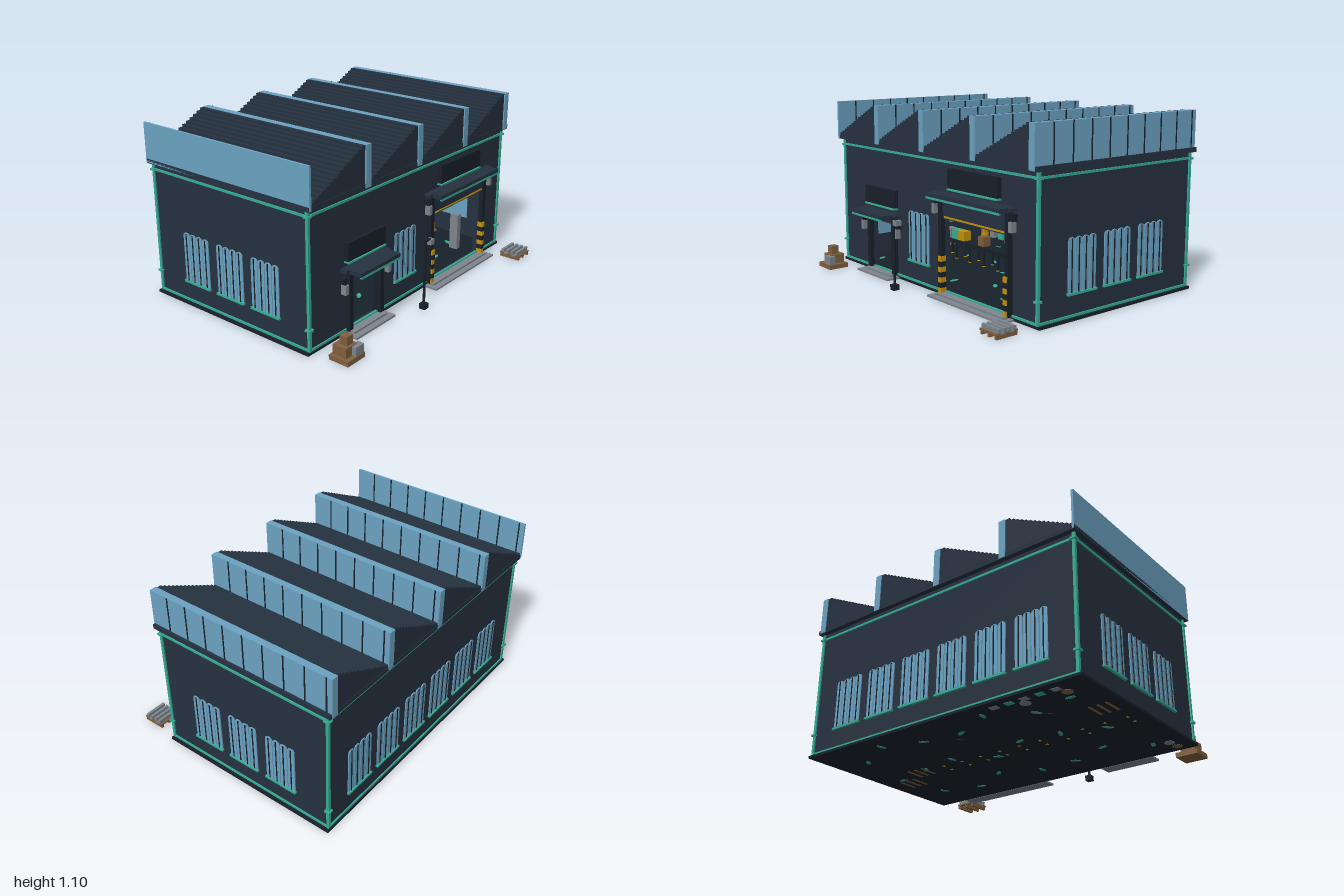
import * as THREE from 'three';

const mat = (name, color) => {
  const m = new THREE.MeshStandardMaterial({ color });
  m.name = name;
  return m;
};

export function createModel() {
  const wall = mat('slate wall', 0x263140);
  const dark = mat('dark metal', 0x18202a);
  const glass = mat('blue glass', 0x6ca3c2);
  const teal = mat('teal trim', 0x37ad96);
  const yellow = mat('safety yellow', 0xc4940e);
  const brown = mat('brown wood', 0x80603f);
  const grey = mat('grey metal', 0x7e868d);
  const root = new THREE.Group();

  const add = (name, geo, m, parent = root) => {
    const mesh = new THREE.Mesh(geo, m);
    mesh.name = name;
    parent.add(mesh);
    return mesh;
  };
  // Box given by its extents along each axis
  const box = (name, m, x0, x1, y0, y1, z0, z1, parent) => {
    const b = add(name, new THREE.BoxGeometry(x1 - x0, y1 - y0, z1 - z0), m, parent);
    b.position.set((x0 + x1) / 2, (y0 + y1) / 2, (z0 + z1) / 2);
    return b;
  };
  const cyl = (name, m, r, h, x, y, z, parent, sides = 12) => {
    const c = add(name, new THREE.CylinderGeometry(r, r, h, sides), m, parent);
    c.position.set(x, y + h / 2, z);
    return c;
  };
  const group = (name, x = 0, y = 0, z = 0, ry = 0) => {
    const g = new THREE.Group();
    g.name = name;
    g.position.set(x, y, z);
    g.rotation.y = ry;
    root.add(g);
    return g;
  };

  // Floor and walls, with door openings cut in the front
  const X = 0.975, ZF = 0.49, ZB = -0.735, T = 0.03;
  box('floor', dark, -1, 1, 0.002, 0.018, -0.75, 0.5);
  const face = new THREE.Shape([[-X, 0.018], [X, 0.018], [X, 0.85], [-X, 0.85]].map(p => new THREE.Vector2(...p)));
  for (const [a, b, t] of [[-0.63, -0.38, 0.37], [0.165, 0.735, 0.5]])
    face.holes.push(new THREE.Path([[a, 0.022], [a, t], [b, t], [b, 0.022]].map(p => new THREE.Vector2(...p))));
  add('frontWall', new THREE.ExtrudeGeometry(face, { depth: T, bevelEnabled: false }), wall).position.z = ZF - T;
  box('backWall', wall, -X, X, 0.018, 0.85, ZB, ZB + T);
  for (const s of [-1, 1]) {
    const a = s * X, b = s * (X - T);
    box('sideWall', wall, Math.min(a, b), Math.max(a, b), 0.018, 0.85, ZB + T, ZF - T);
  }

  // Teal edge trim, corner posts and small corner clamps
  for (const y of [0.025, 0.812]) {
    for (const z of [ZF, ZB]) box('edgeTrim', teal, -0.985, 0.985, y - 0.007, y + 0.007, z - 0.008, z + 0.008);
    for (const x of [-X, X]) box('edgeTrim', teal, x - 0.008, x + 0.008, y - 0.007, y + 0.007, ZB, ZF);
  }
  for (const x of [-X, X]) for (const z of [ZF, ZB]) {
    box('cornerPost', teal, x - 0.009, x + 0.009, 0.018, 0.85, z - 0.009, z + 0.009);
    for (const y of [0.15, 0.81]) box('cornerClamp', teal, x - 0.018, x + 0.018, y - 0.006, y + 0.006, z - 0.018, z + 0.018);
  }

  // Eaves slab and stepped sawtooth roof with upright skylights
  box('eaves', wall, -1, 1, 0.848, 0.876, -0.768, 0.525);
  const STEPS = 15, W = 0.446;
  const tooth = new THREE.Shape();
  tooth.moveTo(0, 0.876);
  for (let i = 0; i < STEPS; i++) {
    const y = 0.876 + 0.222 * (i + 1) / STEPS;
    tooth.lineTo(W * i / STEPS, y);
    tooth.lineTo(W * (i + 1) / STEPS, y);
  }
  tooth.lineTo(W, 0.876);
  const toothGeo = new THREE.ExtrudeGeometry(tooth, { depth: 1.287, bevelEnabled: false });
  const skylight = (x0, x1) => {
    const g = group('skylight');
    box('skylightGlass', glass, x0, x1, 0.852, 1.1, -0.77, 0.53, g);
    for (let i = 0; i < 9; i++) {
      const z = 0.395 - i * 0.141;
      box('skylightBar', dark, x1 - 0.002, x1 + 0.003, 0.86, 1.1, z - 0.004, z + 0.004, g);
    }
  };
  skylight(-1, -0.986);
  for (let i = 0; i < 4; i++) {
    const x = -0.983 + i * 0.492;
    add('roofTooth', toothGeo, wall).position.set(x, 0, -0.765);
    skylight(x + W, x + W + 0.045);
  }

  // Barred windows: four round-topped panes, a sill and a plain inner pane
  const pane = new THREE.Shape();
  pane.moveTo(-0.025, 0);
  pane.lineTo(0.025, 0);
  pane.lineTo(0.025, 0.29);
  pane.quadraticCurveTo(0.024, 0.308, 0, 0.31);
  pane.quadraticCurveTo(-0.024, 0.308, -0.025, 0.29);
  const paneGeo = new THREE.ExtrudeGeometry(pane, { depth: 0.006, bevelEnabled: false, curveSegments: 4 });
  const window_ = (x, z, ry) => {
    const g = group('window', x, 0, z, ry);
    for (let i = 0; i < 4; i++) {
      const px = -0.081 + i * 0.054;
      add('windowPane', paneGeo, glass, g).position.set(px, 0.157, 0);
      box('windowBar', dark, px - 0.003, px + 0.003, 0.155, 0.46, 0.005, 0.01, g);
    }
    box('windowSill', teal, -0.112, 0.112, 0.144, 0.157, -0.005, 0.016, g);
    box('innerPane', glass, -0.11, 0.11, 0.155, 0.468, -T - 0.004, -T + 0.002, g);
  };
  window_(-0.108, ZF, 0);
  for (let i = 0; i < 6; i++) window_(-0.69 + i * 0.277, ZB, Math.PI);
  for (const z of [0.167, -0.113, -0.395]) {
    window_(X, z, Math.PI / 2);
    window_(-X, z, -Math.PI / 2);
  }

  // Doorways: jambs, lintel, canopy, sign board and step
  const doorway = (o) => {
    const g = group(o.name);
    for (const x of [o.x0, o.x1]) box('doorJamb', dark, x - 0.016, x + 0.016, 0.018, o.cy, ZF - 0.03, ZF + 0.03, g);
    box('lintel', wall, o.x0, o.x1, o.top, o.cy, ZF - 0.01, ZF + 0.02, g);
    box('canopy', wall, o.c0, o.c1, o.cy, o.cy + 0.026, ZF, o.cz, g);
    box('canopyTrim', teal, o.c0 + 0.003, o.c1 - 0.003, o.cy - 0.009, o.cy + 0.004, o.cz - 0.012, o.cz + 0.002, g);
    box('canopyBack', wall, o.c0 - 0.025, o.c1 + 0.025, o.cy + 0.004, o.cy + 0.024, ZF, ZF + 0.045, g);
    box('signBoard', dark, o.s0, o.s1, o.sy, o.st, ZF, ZF + 0.03, g);
    box('signTrim', teal, o.s0, o.s1, o.sy - 0.012, o.sy - 0.003, ZF, ZF + 0.036, g);
    box('doorStep', grey, o.x0 - 0.04, o.x1 + 0.04, 0, 0.012, 0.5, 0.59, g);
    box('doorStepTop', grey, o.x0 - 0.01, o.x1 + 0.01, 0.012, 0.024, 0.49, 0.55, g);
    for (const x of [o.c0 - 0.015, o.c1 + 0.015]) {
      box('wallLampMount', dark, x - 0.008, x + 0.008, o.ly + 0.02, o.ly + 0.07, ZF, ZF + 0.035, g);
      box('wallLamp', grey, x - 0.014, x + 0.014, o.ly - 0.03, o.ly + 0.028, ZF + 0.01, ZF + 0.045, g);
    }
  };
  doorway({ name: 'smallDoorway', x0: -0.65, x1: -0.365, top: 0.35, cy: 0.395, c0: -0.69, c1: -0.33, cz: 0.622,
    s0: -0.68, s1: -0.34, sy: 0.458, st: 0.568, ly: 0.3 });
  doorway({ name: 'largeDoorway', x0: 0.145, x1: 0.755, top: 0.475, cy: 0.608, c0: 0.115, c1: 0.785, cz: 0.597,
    s0: 0.225, s1: 0.675, sy: 0.665, st: 0.78, ly: 0.53 });
  box('hazardStripe', yellow, 0.18, 0.73, 0.482, 0.492, ZF, ZF + 0.024);
  for (const x of [0.152, 0.748]) for (let i = 0; i < 7; i++)
    box('doorGuard', i % 2 ? dark : yellow, x - 0.014, x + 0.014, 0.022 + i * 0.032, 0.054 + i * 0.032, ZF, ZF + 0.04);

  // Street lamp
  box('lampFoot', dark, -0.155, -0.115, 0, 0.035, 0.64, 0.68);
  cyl('lampPole', dark, 0.008, 0.42, -0.135, 0.03, 0.66, root, 8);
  box('lampArm', dark, -0.155, -0.1, 0.438, 0.45, 0.65, 0.672);
  box('lampHead', grey, -0.112, -0.074, 0.41, 0.442, 0.642, 0.682);

  // Slatted pallets and crates
  const pallet = (x, z, s, m = brown) => {
    const g = group('pallet', x, 0, z);
    for (const k of [-1, 0, 1]) box('palletRunner', brown, k * s * 0.42 - 0.008, k * s * 0.42 + 0.008, 0, 0.025, -s / 2, s / 2, g);
    for (let i = 0; i < 5; i++) {
      const c = (i - 2) * s * 0.215;
      box('palletSlat', i % 2 ? m : brown, -s / 2, s / 2, 0.022, 0.032, c - s * 0.09, c + s * 0.09, g);
    }
    return g;
  };
  const spare = pallet(0.9, 0.695, 0.14, grey);
  for (let i = 0; i < 4; i++) box('stackedSlat', grey, -0.07, 0.07, 0.032, 0.055, -0.06 + i * 0.034, -0.042 + i * 0.034, spare);
  box('crateBase', brown, -0.945, -0.8, 0, 0.03, 0.6, 0.735);
  box('crate', brown, -0.925, -0.83, 0.03, 0.09, 0.61, 0.705);
  box('smallCrate', brown, -0.9, -0.85, 0.09, 0.145, 0.64, 0.69);
  box('metalCrate', grey, -0.875, -0.805, 0.03, 0.085, 0.69, 0.732);
  for (const [x, z] of [[0.82, 0], [0.63, -0.13], [-0.86, -0.32]]) {
    const g = pallet(x, z, 0.13);
    box('storedCrate', brown, -0.055, 0.055, 0.032, 0.085, -0.055, 0.055, g);
    box('storedCrateTop', brown, -0.045, 0.02, 0.085, 0.12, -0.04, 0.03, g);
  }

  // Conveyor with legs and parcels
  const conveyor = group('conveyor', 0, 0, -0.1);
  box('belt', dark, -0.92, 0.46, 0.125, 0.15, -0.045, 0.045, conveyor);
  for (let i = 0; i < 10; i++) for (const z of [-0.038, 0.038]) {
    const x = -0.9 + i * 0.148;
    box('conveyorLeg', dark, x - 0.006, x + 0.006, 0.01, 0.13, z - 0.006, z + 0.006, conveyor);
    box('conveyorFoot', yellow, x - 0.008, x + 0.008, 0, 0.024, z - 0.008, z + 0.008, conveyor);
  }
  [[-0.57, 0.035, grey], [-0.49, 0.03, teal], [-0.42, 0.035, yellow], [-0.2, 0.03, brown], [0.21, 0.036, grey], [0.37, 0.035, grey], [0.42, 0.017, yellow]]
    .forEach(([x, r, m]) => box('parcel', m, x - r, x + r, 0.15, 0.215, -0.03, 0.03, conveyor));

  // Robot arms behind the conveyor
  for (const x of [0.07, -0.575]) {
    const g = group('robotArm', x, 0, -0.41);
    cyl('robotBase', dark, 0.04, 0.05, 0, 0, 0, g);
    cyl('robotTurret', yellow, 0.025, 0.08, 0, 0.05, 0, g);
    box('lowerArm', yellow, -0.014, 0.014, 0.12, 0.28, -0.014, 0.014, g);
    box('upperArm', yellow, -0.02, 0.13, 0.26, 0.285, -0.014, 0.014, g);
    box('gripper', grey, 0.11, 0.14, 0.2, 0.26, -0.014, 0.014, g);
  }

  // Drums, back-wall equipment and a locker
  [[-0.89, 0.35, grey], [-0.9, 0.43, brown], [-0.57, -0.63, grey], [-0.83, -0.62, brown]]
    .forEach(([x, z, m]) => cyl('drum', m, 0.033, 0.09, x, 0, z));
  for (let i = 0; i < 5; i++) {
    const x = -0.8 + i * 0.1;
    box('equipmentBox', i % 2 ? teal : grey, x - 0.025, x + 0.025, 0, 0.08 + 0.02 * (i % 3), -0.7, -0.66);
  }
  box('locker', grey, 0.69, 0.73, 0.02, 0.27, 0.3, 0.36);

  // Painted floor patches, visible from both sides of the floor
  const patch = new THREE.CylinderGeometry(0.036, 0.036, 0.02, 6);
  for (let i = 0; i < 7; i++) for (let j = 0; j < 3; j++) {
    const p = add('floorPatch', patch, teal);
    p.position.set(-0.8 + i * 0.26 + 0.07 * (j % 2), 0.0105, -0.55 + j * 0.4 + 0.08 * Math.sin(i * 2.3 + j));
    p.rotation.y = i * 0.9 + j;
    p.scale.set(1, 1, 0.42);
  }
  return root;
}
